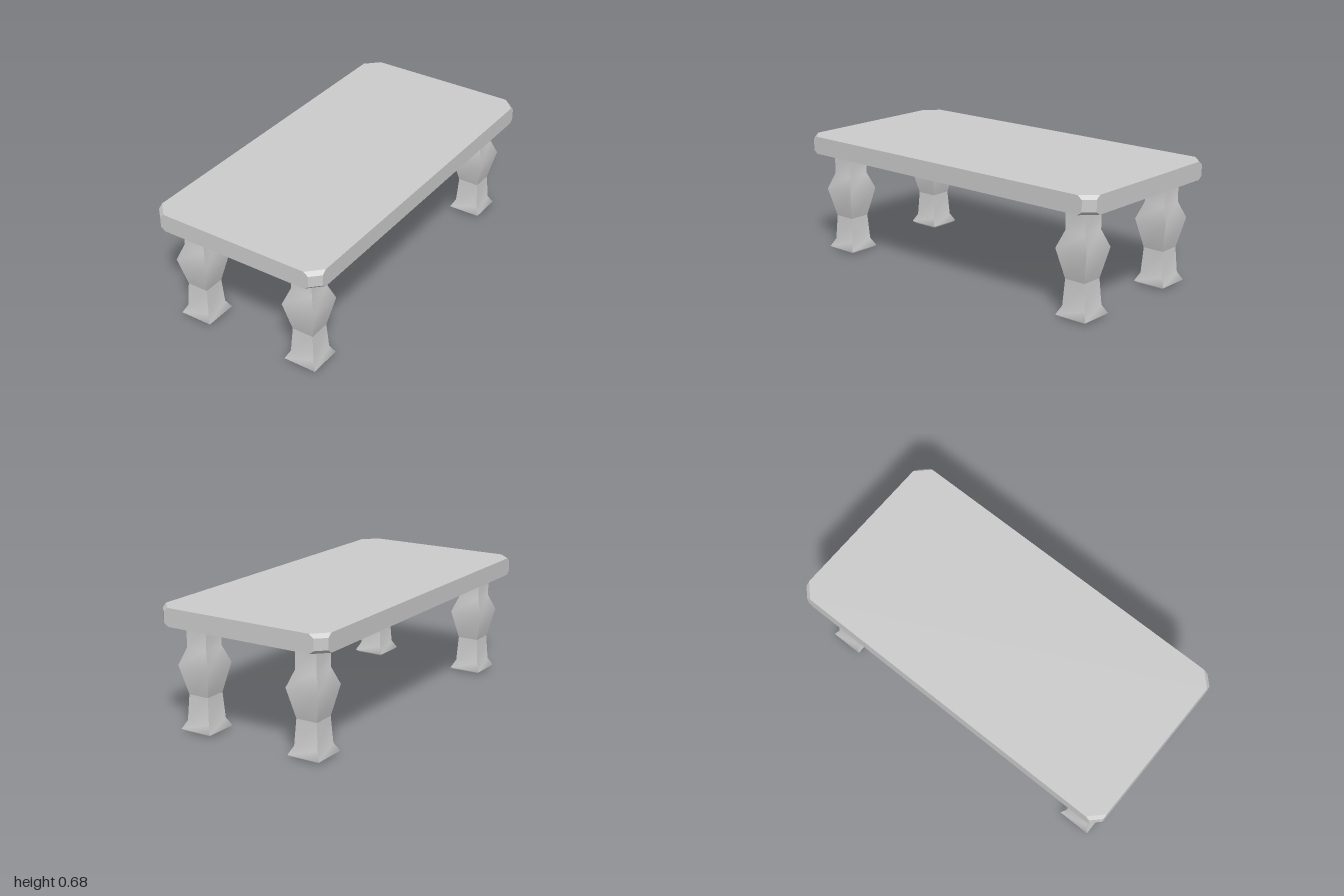
import * as THREE from 'three';
import { mergeGeometries } from 'three/addons/utils/BufferGeometryUtils.js';
import { ConvexGeometry } from 'three/addons/geometries/ConvexGeometry.js';

const material = new THREE.MeshStandardMaterial({ color: 0xcccccc });

// Square column from [half width, height] rows, top to bottom: each side is
// smooth along its height, with sharp corners between sides.
function squareColumn(profile) {
  const side = new THREE.PlaneGeometry(2, 1, 1, profile.length - 1);
  const pos = side.attributes.position;
  profile.forEach(([w, y], row) => {
    pos.setXYZ(row * 2, -w, y, w);
    pos.setXYZ(row * 2 + 1, w, y, w);
  });
  side.computeVertexNormals();
  return mergeGeometries([0, 1, 2, 3].map(i => side.clone().rotateY(i * Math.PI / 2)));
}

// Slab whose corners are cut, more deeply towards the top and bottom faces
function cutCornerSlab(halfX, halfZ, levels) {
  const points = [];
  for (const [y, cut] of levels)
    for (const sx of [-1, 1])
      for (const sz of [-1, 1])
        points.push(
          new THREE.Vector3(sx * (halfX - cut), y, sz * halfZ),
          new THREE.Vector3(sx * halfX, y, sz * (halfZ - cut)));
  return new ConvexGeometry(points);
}

export function createModel() {
  const table = new THREE.Group();
  table.name = 'table';

  const add = (parent, name, geometry) => {
    const mesh = new THREE.Mesh(geometry, material);
    mesh.name = name;
    parent.add(mesh);
  };

  // Tabletop
  add(table, 'tabletop', cutCornerSlab(0.5, 1, [
    [0.577, 0.075], [0.595, 0.05], [0.655, 0.05], [0.675, 0.075],
  ]));

  // Leg parts shared by all four legs
  const upper = squareColumn([[0.062, 0.577], [0.062, 0.45], [0.096, 0.36], [0.06, 0.2]]);
  const lower = squareColumn([[0.06, 0.2], [0.069, 0.06], [0.093, 0.015], [0.075, 0]]);
  const sole = new THREE.PlaneGeometry(0.15, 0.15).rotateX(Math.PI / 2);

  for (const sx of [-1, 1])
    for (const sz of [-1, 1]) {
      const leg = new THREE.Group();
      leg.name = (sz > 0 ? 'front' : 'back') + (sx > 0 ? 'Left' : 'Right') + 'Leg';
      leg.position.set(sx * 0.334, 0, sz * 0.835);
      add(leg, 'upperLeg', upper);
      add(leg, 'lowerLeg', lower);
      add(leg, 'sole', sole);
      table.add(leg);
    }
  return table;
}
